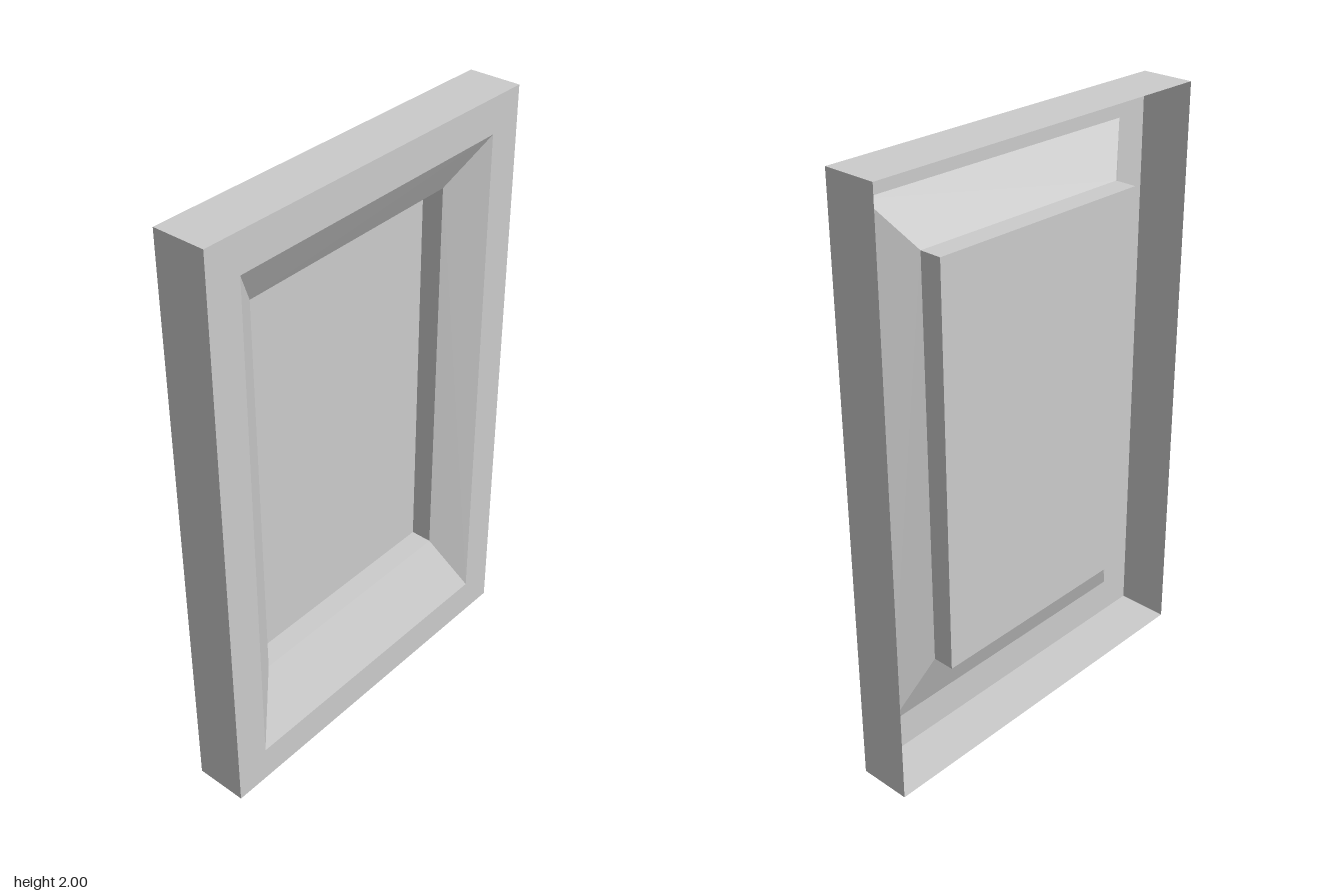
import * as THREE from 'three';

const material = new THREE.MeshStandardMaterial({ color: 0xcccccc, flatShading: true, side: THREE.DoubleSide });

// Slightly skewed four-cornered loops: bottom left, bottom right, top right, top left
const outerOutline = [[-0.65, 0], [0.655, 0], [0.655, 2], [-0.655, 1.985]];
const rimOutline = [[-0.53, 0.125], [0.533, 0.125], [0.535, 1.882], [-0.535, 1.862]];
const panelOutline = [[-0.412, 0.355], [0.417, 0.355], [0.415, 1.725], [-0.42, 1.708]];

// Places an outline at a depth; the whole frame leans back a little toward +x
const loopAt = (outline, z) => outline.map(([x, y]) => new THREE.Vector3(x, y, z - 0.005 * x));

function meshFromQuads(name, quads) {
  const points = quads.flatMap(([a, b, c, d]) => [a, b, c, a, c, d]);
  const geometry = new THREE.BufferGeometry().setFromPoints(points);
  geometry.computeVertexNormals();
  const mesh = new THREE.Mesh(geometry, material);
  mesh.name = name;
  return mesh;
}

// Four quads joining one loop to the next
function band(name, from, to) {
  return meshFromQuads(name, from.map((p, i) => {
    const j = (i + 1) % 4;
    return [p, from[j], to[j], to[i]];
  }));
}

export function createModel() {
  const back = loopAt(outerOutline, -0.092);
  const front = loopAt(outerOutline, 0.087);
  const rim = loopAt(rimOutline, 0.087);
  const bevelEnd = loopAt(panelOutline, 0.0);
  const panel = loopAt(panelOutline, -0.075);

  const group = new THREE.Group();
  group.name = 'framedPanel';
  group.add(
    band('outerWalls', back, front), // shell, open at the back
    band('frontRim', front, rim),
    band('bevel', rim, bevelEnd),
    band('innerStep', bevelEnd, panel),
    meshFromQuads('panel', [panel]),
  );
  return group;
}
